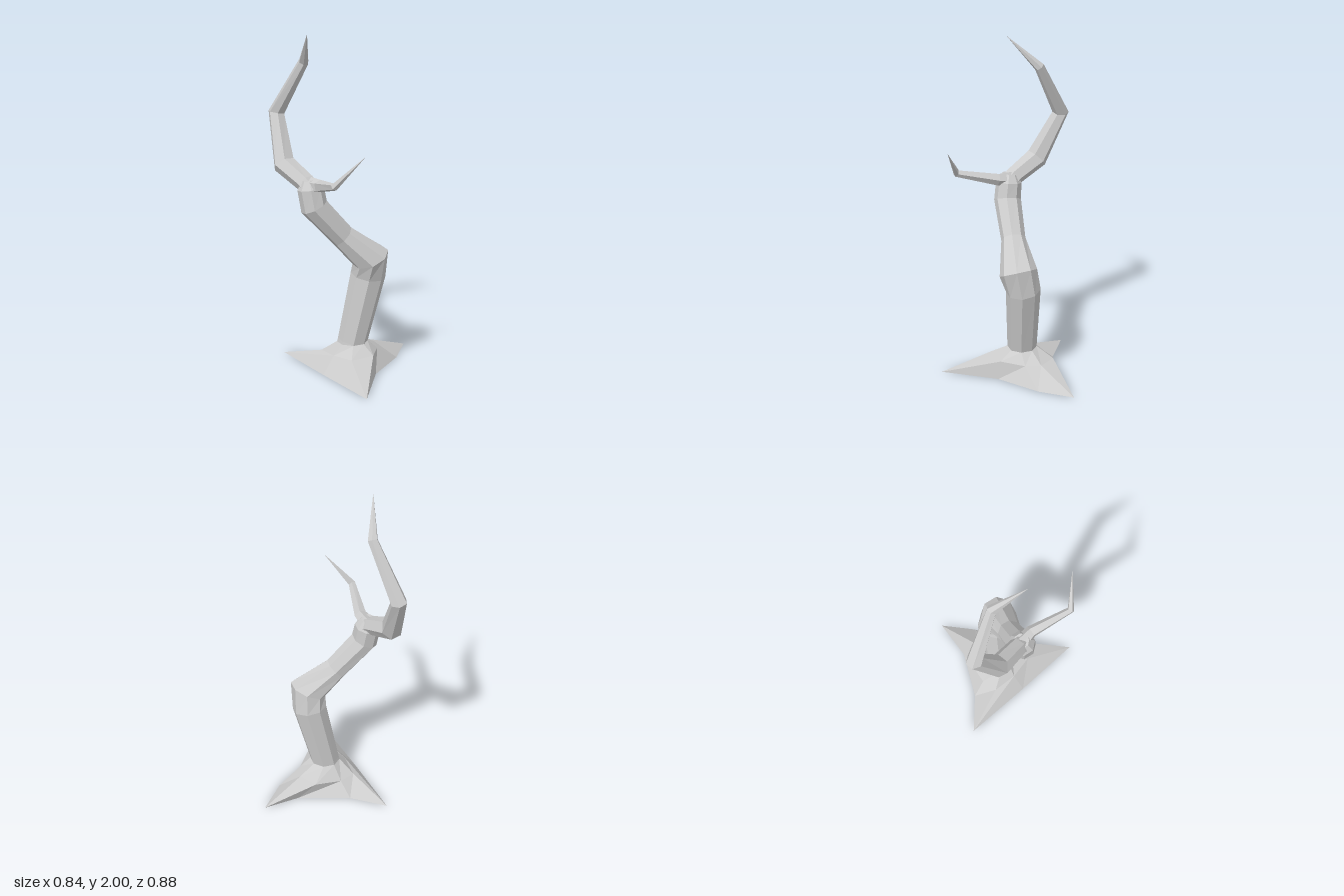
import * as THREE from 'three';

const material = new THREE.MeshStandardMaterial({ color: 0xcccccc, flatShading: true });

// Skins a list of equal-length rings (counter-clockwise about the sweep direction), closing both ends.
function skin(name, rings) {
  const pos = [];
  const tri = (...pts) => pts.forEach((p) => pos.push(p.x, p.y, p.z));
  const n = rings[0].length;
  for (let r = 0; r < rings.length - 1; r++) {
    const a = rings[r], b = rings[r + 1];
    for (let i = 0; i < n; i++) {
      const j = (i + 1) % n;
      tri(a[i], a[j], b[j]);
      tri(a[i], b[j], b[i]);
    }
  }
  const middle = (ring) => ring.reduce((s, p) => s.add(p), new THREE.Vector3()).divideScalar(n);
  const first = rings[0], last = rings[rings.length - 1];
  const c0 = middle(first), c1 = middle(last);
  for (let i = 0; i < n; i++) {
    const j = (i + 1) % n;
    tri(c0, first[j], first[i]);
    tri(c1, last[i], last[j]);
  }
  const geometry = new THREE.BufferGeometry();
  geometry.setAttribute('position', new THREE.Float32BufferAttribute(pos, 3));
  geometry.computeVertexNormals();
  const mesh = new THREE.Mesh(geometry, material);
  mesh.name = name;
  return mesh;
}

// Sweeps a polygon along [x, y, z, radius] joints, without twist.
function limb(name, joints, sides) {
  const pts = joints.map(([x, y, z]) => new THREE.Vector3(x, y, z));
  const dir = (a, b) => b.clone().sub(a).normalize();
  let u = new THREE.Vector3(1, 0, 0);
  const rings = pts.map((p, k) => {
    const t = new THREE.Vector3();
    if (k > 0) t.add(dir(pts[k - 1], p));
    if (k < pts.length - 1) t.add(dir(p, pts[k + 1]));
    t.normalize();
    u = u.clone().addScaledVector(t, -u.dot(t)).normalize();
    const v = t.clone().cross(u);
    return Array.from({ length: sides }, (_, i) => {
      const a = (i / sides) * Math.PI * 2;
      return p.clone()
        .addScaledVector(u, Math.cos(a) * joints[k][3])
        .addScaledVector(v, Math.sin(a) * joints[k][3]);
    });
  });
  return skin(name, rings);
}

export function createModel() {
  const tree = new THREE.Group();
  tree.name = 'deadTree';

  // Root flare: collar, shoulder ring and three-pointed footprint
  const collar = Array.from({ length: 8 }, (_, i) => {
    const a = (i / 8) * Math.PI * 2;
    return [-0.045 + 0.09 * Math.cos(a), 0.16, 0.062 + 0.088 * Math.sin(a)];
  });
  const shoulder = [
    [0.14, 0.1, 0.075], [0.08, 0.1, 0.15], [-0.05, 0.11, 0.23], [-0.19, 0.11, 0.185],
    [-0.185, 0.1, 0.04], [-0.14, 0.085, -0.1], [-0.04, 0.08, -0.1], [0.115, 0.1, -0.045],
  ];
  const footprint = [
    [0.42, 0, 0.075], [0.225, 0, 0.18], [-0.05, 0, 0.25], [-0.35, 0, 0.44],
    [-0.265, 0, 0.03], [-0.17, 0, -0.385], [-0.04, 0, -0.19], [0.205, 0, 0.015],
  ];
  tree.add(skin('roots', [collar, shoulder, footprint].map(
    (ring) => ring.map((p) => new THREE.Vector3(...p)))));

  // Crooked trunk
  tree.add(limb('trunk', [
    [-0.058, 0.1, 0.055, 0.088],
    [-0.045, 0.16, 0.062, 0.088],
    [0.03, 0.57, 0.118, 0.103],
    [0.018, 0.685, 0.145, 0.112],
    [-0.125, 0.83, 0.055, 0.072],
    [-0.27, 1.02, -0.03, 0.08],
    [-0.278, 1.125, -0.048, 0.076],
    [-0.278, 1.175, -0.055, 0.045],
  ], 8));

  // Tall branch curving back, then up and forward
  tree.add(limb('tallBranch', [
    [-0.277, 1.1, -0.03, 0.06],
    [-0.275, 1.15, -0.09, 0.056],
    [-0.268, 1.228, -0.265, 0.066],
    [-0.197, 1.505, -0.392, 0.049],
    [-0.17, 1.82, -0.195, 0.03],
    [-0.29, 2.0, -0.055, 0.001],
  ], 6));

  // Short hooked branch at the front
  tree.add(limb('shortBranch', [
    [-0.275, 1.14, -0.06, 0.05],
    [-0.288, 1.155, 0.03, 0.037],
    [-0.405, 1.215, 0.248, 0.022],
    [-0.31, 1.385, 0.385, 0.001],
  ], 5));

  return tree;
}
